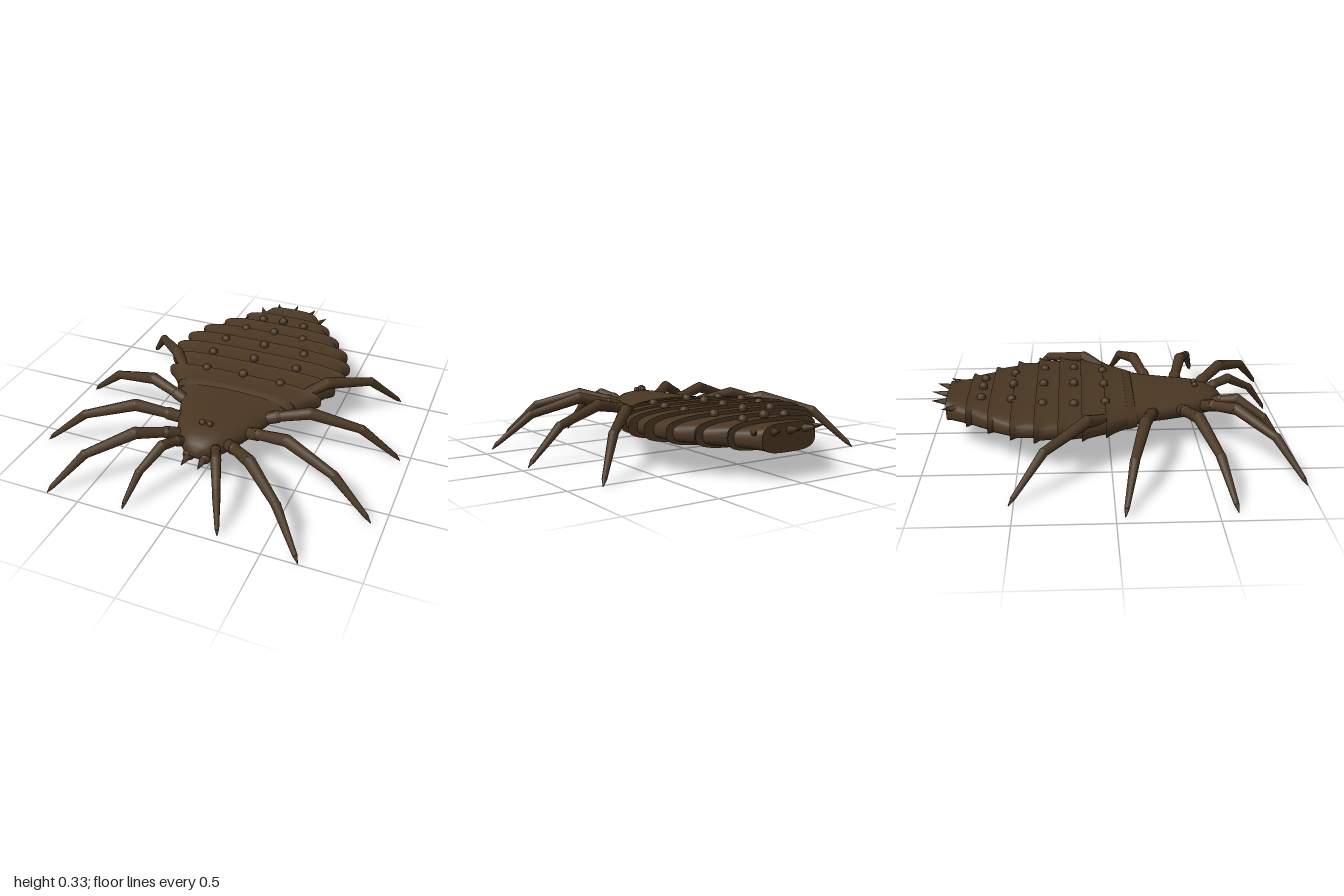
import * as THREE from 'three';
import { toCreasedNormals } from 'three/addons/utils/BufferGeometryUtils.js';

const brown = new THREE.MeshStandardMaterial({ color: 0x4a3723 });
brown.name = 'dark brown chitin';

// Skin over cross-sections [z, halfWidth, bottom, top], listed from rear to front, capped at both ends
function loft(sections, power, sides = 40) {
  const pos = [], index = [];
  for (const [z, w, bottom, top] of sections) {
    const mid = (bottom + top) / 2, h = (top - bottom) / 2;
    for (let j = 0; j < sides; j++) {
      const a = (j / sides) * Math.PI * 2, c = Math.cos(a), s = Math.sin(a);
      pos.push(w * Math.sign(c) * Math.abs(c) ** power, mid + h * Math.sign(s) * Math.abs(s) ** power, z);
    }
  }
  const last = (sections.length - 1) * sides;
  for (let i = 0; i < last; i += sides) {
    for (let j = 0; j < sides; j++) {
      const a = i + j, b = i + ((j + 1) % sides);
      index.push(a, b, a + sides, b, b + sides, a + sides);
    }
  }
  for (let j = 1; j < sides - 1; j++) {
    index.push(0, j + 1, j, last, last + j, last + j + 1);
  }
  const geo = new THREE.BufferGeometry();
  geo.setAttribute('position', new THREE.Float32BufferAttribute(pos, 3));
  geo.setIndex(index);
  return toCreasedNormals(geo, 0.7);
}

function add(parent, name, geo, position) {
  const mesh = new THREE.Mesh(geo, brown);
  mesh.name = name;
  if (position) mesh.position.set(...position);
  parent.add(mesh);
  return mesh;
}

// Tapered round limb between two points
function limb(parent, name, from, to, r0, r1, sides = 10) {
  const a = new THREE.Vector3(...from), b = new THREE.Vector3(...to);
  const dir = b.clone().sub(a);
  const mesh = add(parent, name, new THREE.CylinderGeometry(r1, r0, dir.length(), sides));
  mesh.position.copy(a).add(b).multiplyScalar(0.5);
  mesh.quaternion.setFromUnitVectors(new THREE.Vector3(0, 1, 0), dir.normalize());
  return mesh;
}

// Leg in a vertical plane: hip, raised knee, ankle and pointed foot
function makeLeg(name, side, hip, foot, thick, kneeY, ankleY) {
  const leg = new THREE.Group();
  leg.name = name;
  const at = (t, y) => [
    side * THREE.MathUtils.lerp(hip[0], foot[0], t), y, THREE.MathUtils.lerp(hip[1], foot[1], t)];
  const coxa = at(-0.1, 0.2), start = at(0.06, 0.235), knee = at(0.3, kneeY);
  const ankle = at(0.69, ankleY), claw = at(0.96, 0.03), tip = at(1, 0);
  limb(leg, 'coxa', coxa, start, thick * 0.9, thick * 1.05);
  limb(leg, 'thigh', start, knee, thick * 0.85, thick);
  limb(leg, 'shin', knee, ankle, thick, thick * 0.72);
  limb(leg, 'foot', ankle, claw, thick * 0.78, thick * 0.4);
  limb(leg, 'claw', claw, tip, thick * 0.4, 0.002);
  for (const [p, r] of [[start, 1], [knee, 1], [ankle, 0.78]]) {
    add(leg, 'joint', new THREE.SphereGeometry(thick * r, 10, 8), p);
  }
  return leg;
}

export function createModel() {
  const model = new THREE.Group();
  model.name = 'armouredSpider';

  // Abdomen rings [rear z, flared rear half width, waist half width, front half width, top]
  const abdomen = new THREE.Group();
  abdomen.name = 'abdomen';
  model.add(abdomen);
  const rings = [
    [-0.9, 0.17, 0.19, 0.25, 0.283],
    [-0.78, 0.285, 0.265, 0.345, 0.29],
    [-0.655, 0.385, 0.37, 0.435, 0.296],
    [-0.53, 0.475, 0.455, 0.465, 0.3],
    [-0.405, 0.525, 0.495, 0.485, 0.304],
    [-0.28, 0.54, 0.505, 0.475, 0.304],
    [-0.155, 0.51, 0.48, 0.43, 0.3],
    [-0.027, 0.467, 0.43, 0.355, 0.292],
    [0.09, 0.352, 0.345, 0.335, 0.28],
  ];
  rings.forEach(([z, rear, waist, front, top], i) => {
    const end = (i < rings.length - 1 ? rings[i + 1][0] : 0.14) + 0.005;
    add(abdomen, 'abdomenRing', loft([
      [z, rear, 0.135, top],
      [z + 0.03, waist, 0.142, top - 0.008],
      [(z + end) / 2 + 0.01, (waist + front) / 2, 0.145, top - 0.012],
      [end, front, 0.146, top - 0.016],
    ], 0.62));
  });

  // Rows of warts across the back
  const wart = new THREE.SphereGeometry(0.026, 10, 8);
  for (const [z, x, y] of [[-0.705, 0.135, 0.28], [-0.535, 0.185, 0.29], [-0.365, 0.25, 0.29], [-0.195, 0.26, 0.29], [-0.025, 0.225, 0.283]]) {
    add(abdomen, 'wart', wart, [0, y + 0.012, z]);
    for (const s of [-1, 1]) add(abdomen, 'wart', wart, [s * x, y, z]);
  }

  // Tail spikes
  limb(abdomen, 'tailSpike', [0, 0.24, -0.88], [0, 0.262, -0.995], 0.026, 0.001, 8);
  for (const s of [-1, 1]) {
    limb(abdomen, 'tailSpike', [s * 0.095, 0.24, -0.88], [s * 0.123, 0.26, -0.98], 0.026, 0.001, 8);
    limb(abdomen, 'tailSpike', [s * 0.165, 0.235, -0.82], [s * 0.22, 0.25, -0.915], 0.026, 0.001, 8);
  }

  // Head shield and the plate beneath it
  add(model, 'headShield', loft([
    [0.135, 0.325, 0.14, 0.28],
    [0.2, 0.28, 0.135, 0.282],
    [0.3, 0.245, 0.13, 0.283],
    [0.4, 0.21, 0.13, 0.284],
    [0.5, 0.165, 0.13, 0.283],
    [0.57, 0.12, 0.135, 0.268],
    [0.62, 0.075, 0.15, 0.245],
    [0.645, 0.025, 0.175, 0.215],
  ], 0.85));
  add(model, 'breastPlate', new THREE.SphereGeometry(1, 24, 14), [0, 0.14, 0.245]).scale.set(0.125, 0.036, 0.195);

  // Eyes and fangs
  for (const s of [-1, 1]) {
    add(model, 'eye', new THREE.SphereGeometry(0.017, 10, 8), [s * 0.022, 0.29, 0.49]);
    add(model, 'jaw', new THREE.SphereGeometry(0.034, 12, 8), [s * 0.045, 0.165, 0.615]);
    limb(model, 'fang', [s * 0.043, 0.165, 0.62], [s * 0.046, 0.16, 0.71], 0.026, 0.002, 8);
  }

  // Four pairs of legs and a pair of feelers: hip xz, foot xz, thickness, knee and ankle heights
  const limbs = [
    ['feeler', [0.1, 0.6], [0.262, 0.965], 0.028, 0.255, 0.17],
    ['firstLeg', [0.16, 0.545], [0.685, 0.995], 0.033, 0.268, 0.195],
    ['secondLeg', [0.22, 0.4], [0.93, 0.595], 0.033, 0.275, 0.19],
    ['thirdLeg', [0.26, 0.23], [0.95, 0.045], 0.033, 0.27, 0.19],
    ['fourthLeg', [0.31, 0.04], [0.825, -0.525], 0.033, 0.28, 0.21],
  ];
  for (const [name, ...spec] of limbs) {
    model.add(makeLeg(name + 'Left', 1, ...spec), makeLeg(name + 'Right', -1, ...spec));
  }
  return model;
}
